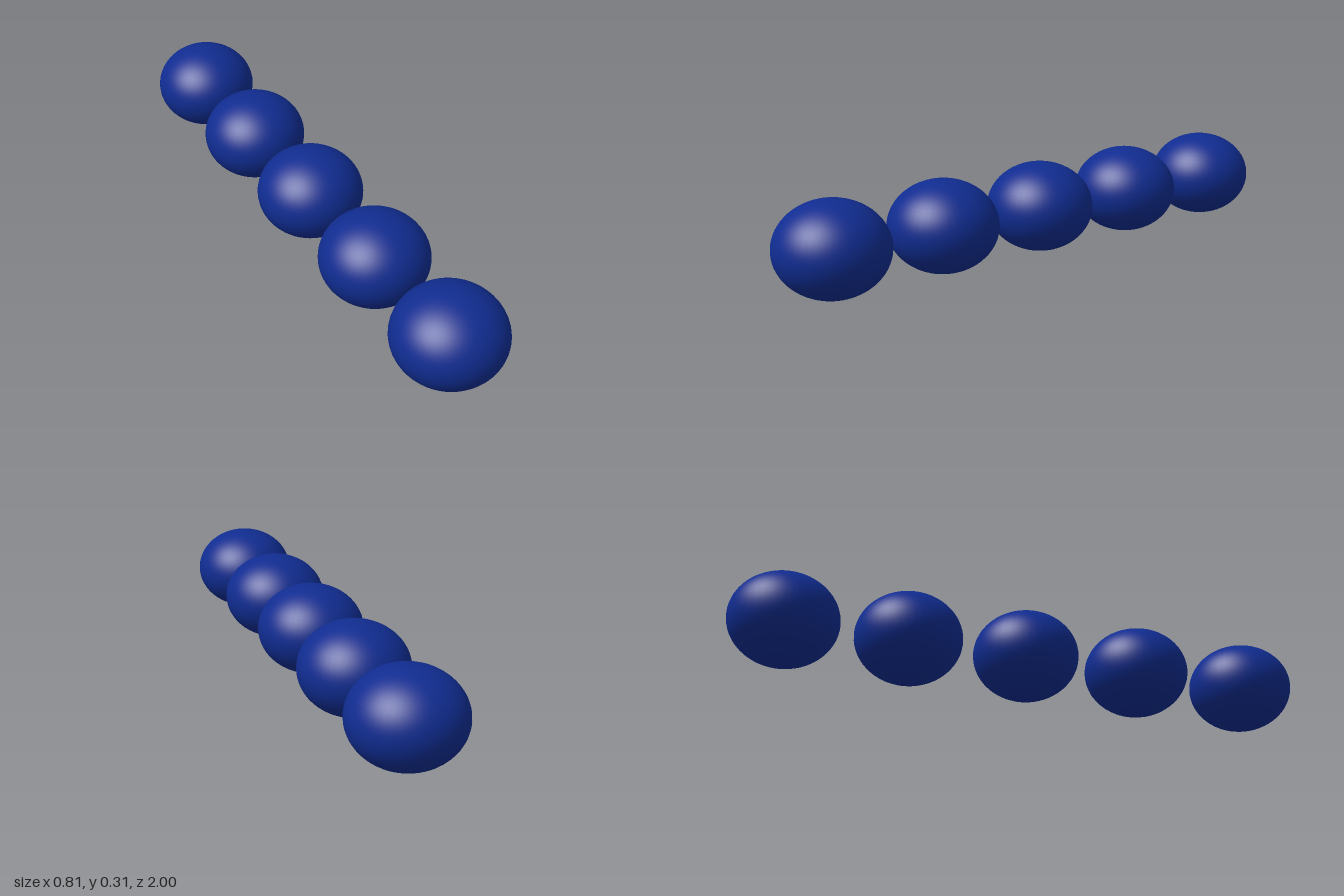
import * as THREE from 'three';

export function createModel() {
  const model = new THREE.Group();
  model.name = 'beadRow';
  const material = new THREE.MeshStandardMaterial({ color: 0x102c90 });

  // One slightly flattened bead, shared by the whole row
  const radius = 0.185, halfHeight = 0.156;
  const geometry = new THREE.SphereGeometry(radius, 48, 32);
  geometry.scale(1, halfHeight / radius, 1);

  // Five beads in a straight diagonal row, back to front
  for (let i = -2; i <= 2; i++) {
    const bead = new THREE.Mesh(geometry, material);
    bead.name = `bead${i + 3}`;
    bead.position.set(i * 0.109, halfHeight, i * 0.4075);
    model.add(bead);
  }
  return model;
}
